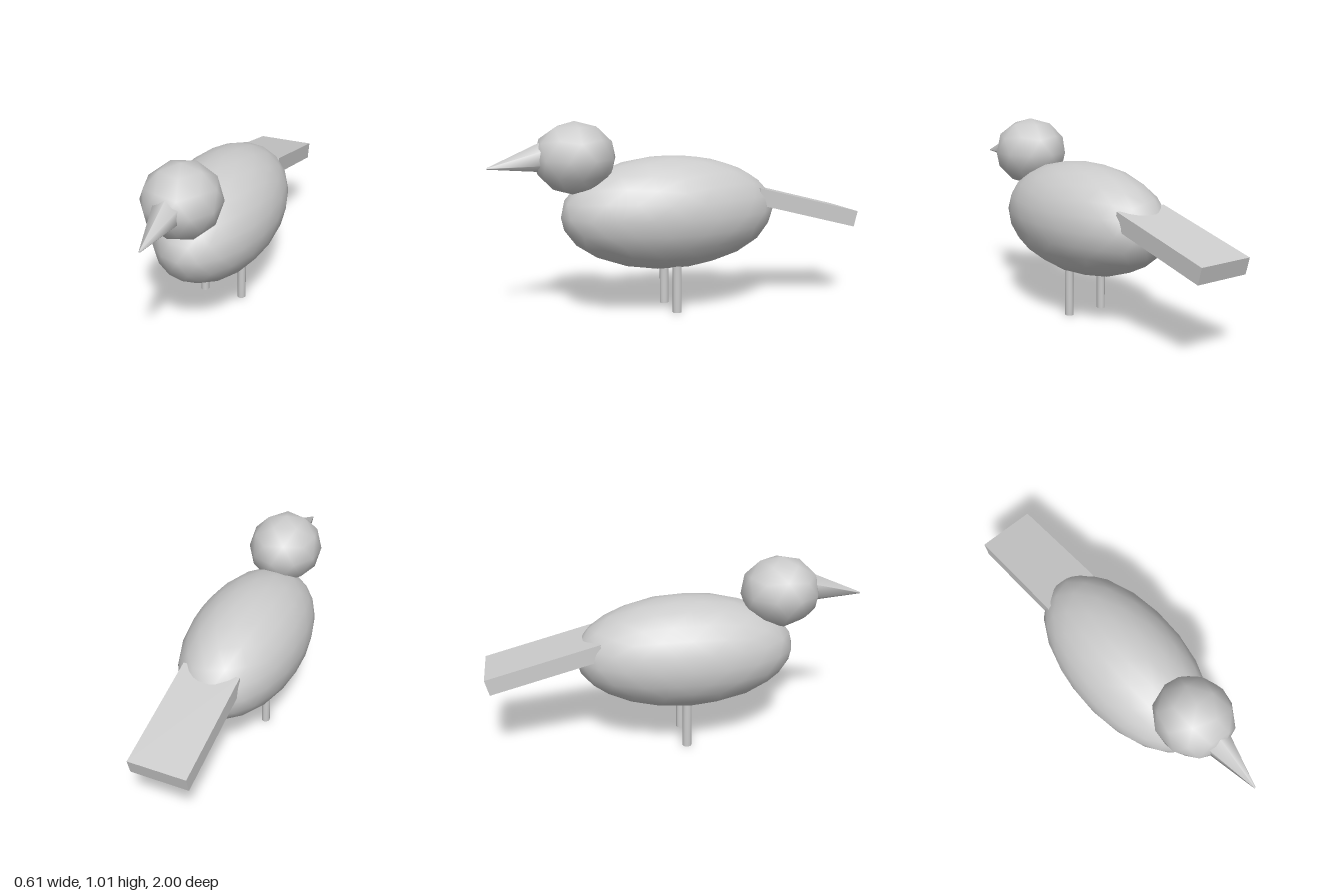
import * as THREE from 'three';

const grey = new THREE.MeshStandardMaterial({ color: 0xcccccc });
grey.name = 'plain grey';

// Icosphere with one corner at the top, stretched to the given radii
function icosphere(detail, rx, ry, rz) {
  const g = new THREE.IcosahedronGeometry(1, detail);
  g.rotateZ(-Math.atan(2 / (1 + Math.sqrt(5))));
  g.scale(rx, ry, rz);
  return g;
}

export function createModel() {
  const bird = new THREE.Group();
  bird.name = 'bird';

  function add(name, geometry, x, y, z) {
    const mesh = new THREE.Mesh(geometry, grey);
    mesh.name = name;
    mesh.position.set(x, y, z);
    bird.add(mesh);
    return mesh;
  }

  add('body', icosphere(3, 0.307, 0.3, 0.585), 0, 0.522, 0.05);
  add('head', icosphere(1, 0.198, 0.189, 0.213), 0, 0.824, 0.557);

  // Six-sided beak, dipping slightly towards the tip
  const tip = new THREE.Vector3(0, 0.787, 1);
  const root = new THREE.Vector3(0, 0.838, 0.7);
  const axis = tip.clone().sub(root);
  const beakShape = new THREE.CylinderGeometry(0.004, 0.082, axis.length(), 6);
  beakShape.rotateX(Math.PI / 2);
  const middle = root.clone().add(tip).multiplyScalar(0.5);
  const beak = add('beak', beakShape, middle.x, middle.y, middle.z);
  beak.rotation.x = Math.atan2(-axis.y, axis.z);

  // Flat tail board sloping down to the back
  const tail = add('tail', new THREE.BoxGeometry(0.305, 0.088, 0.61), 0, 0.525, -0.694);
  tail.rotation.x = -0.257;

  // Legs
  for (const side of [1, -1]) {
    const leg = new THREE.CylinderGeometry(0.022, 0.022, 0.32, 12);
    leg.scale(1, 1, 1.12);
    add(side > 0 ? 'leftLeg' : 'rightLeg', leg, side * 0.108, 0.16, 0.045);
  }

  return bird;
}
